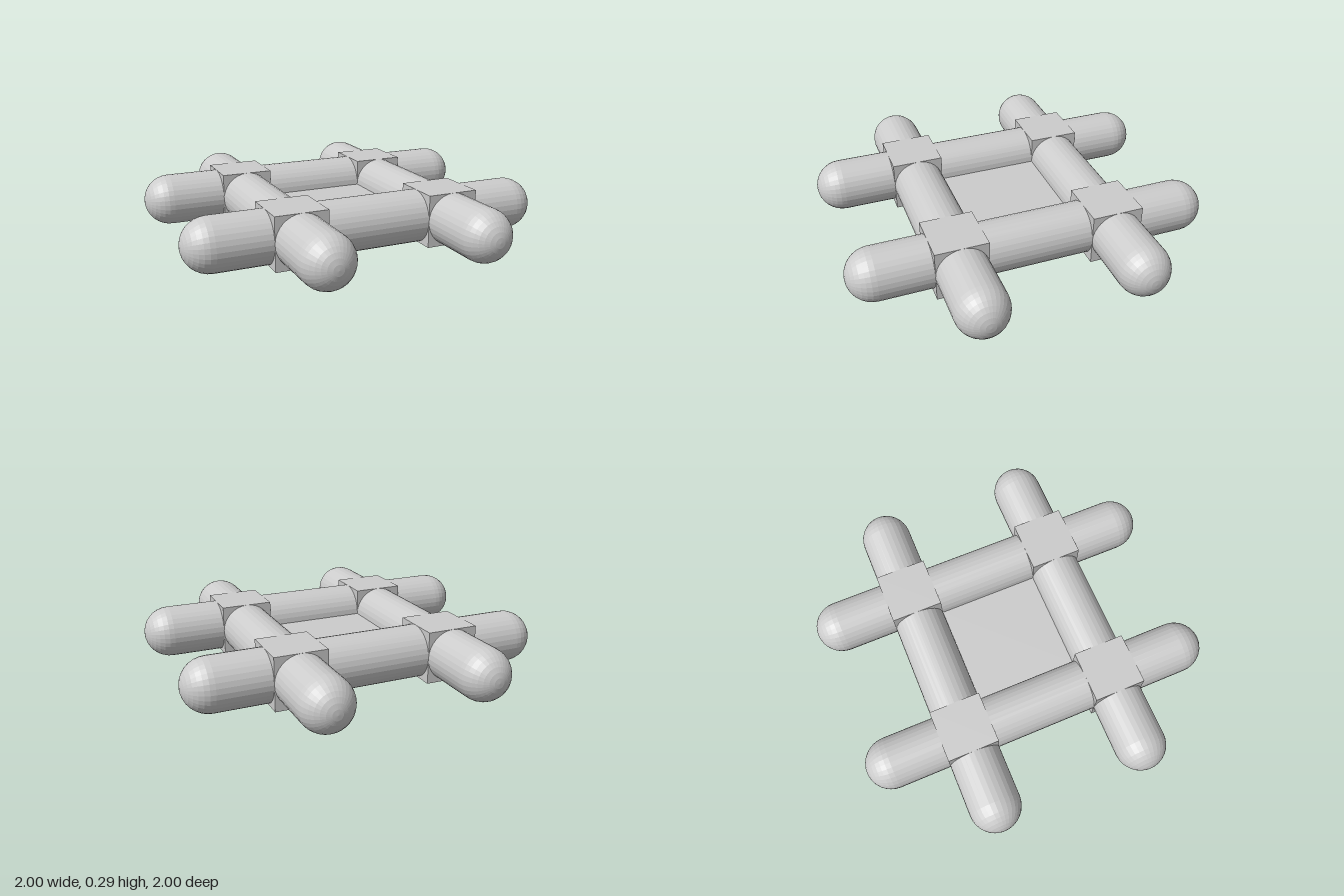
import * as THREE from 'three';

export function createModel() {
  const model = new THREE.Group();
  const material = new THREE.MeshStandardMaterial({ color: 0xcccccc, flatShading: true });
  const radius = 1 / 7;
  const offset = 3 * radius; // distance of each bar from the centre line

  function add(name, geometry, x, z, y = radius, mat = material) {
    const mesh = new THREE.Mesh(geometry, mat);
    mesh.name = name;
    mesh.position.set(x, y, z);
    model.add(mesh);
    return mesh;
  }

  // Four round-ended bars, two along each axis
  const bar = new THREE.CapsuleGeometry(radius, 2 - 2 * radius, 8, 32);
  for (const side of [-1, 1]) {
    add('crossBar', bar, 0, side * offset).rotation.z = Math.PI / 2;
    add('lengthBar', bar, side * offset, 0).rotation.x = Math.PI / 2;
  }

  // Cube joints where the bars cross
  const joint = new THREE.BoxGeometry(2 * radius, 2 * radius, 2 * radius);
  for (const x of [-offset, offset]) {
    for (const z of [-offset, offset]) add('joint', joint, x, z);
  }

  // Thin panel filling the middle opening at about half height
  const sheet = material.clone();
  sheet.side = THREE.DoubleSide;
  const panel = new THREE.PlaneGeometry(4 * radius + 0.01, 4 * radius + 0.01);
  add('centrePanel', panel, 0, 0, 0.14, sheet).rotation.x = -Math.PI / 2;

  return model;
}
